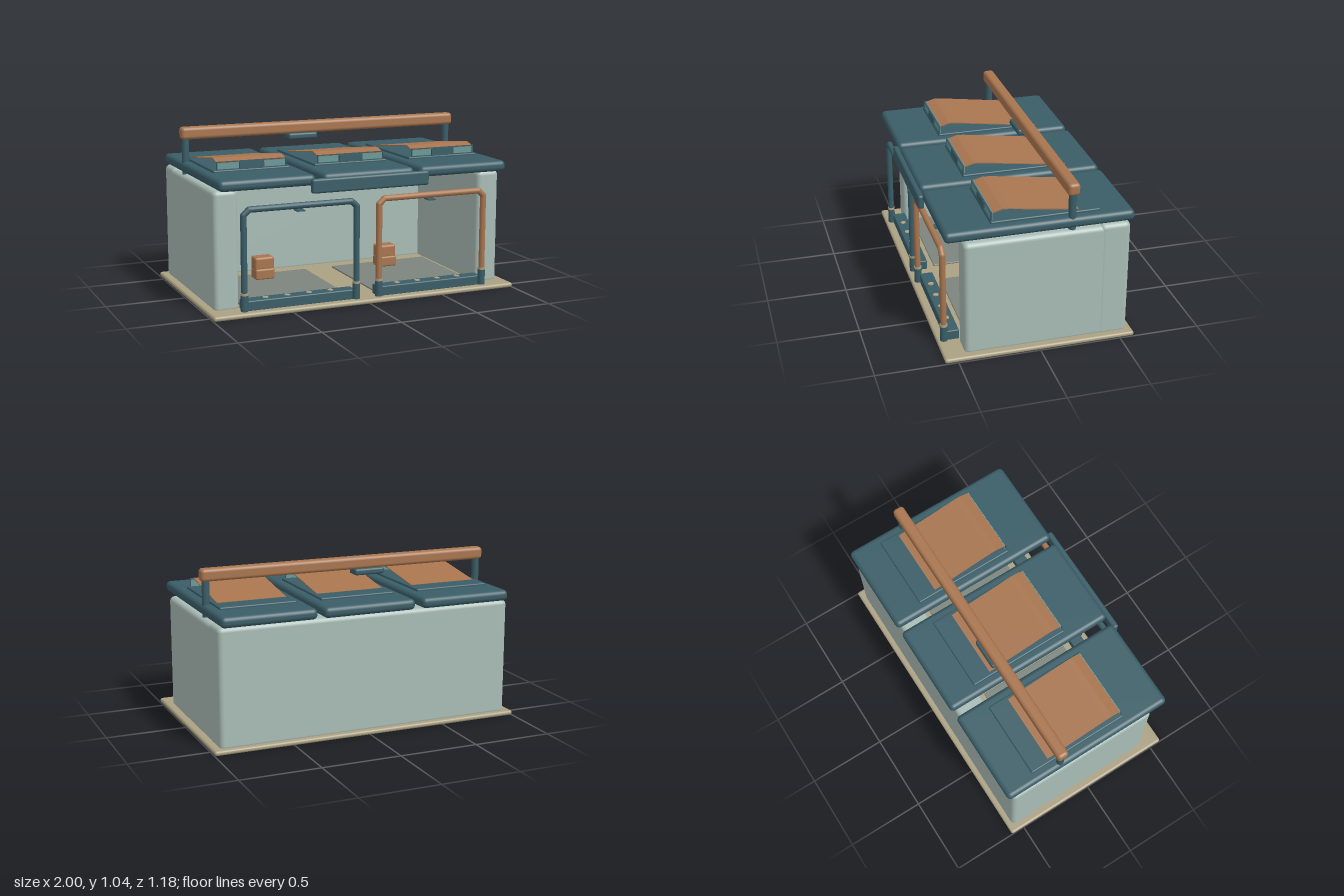
import * as THREE from 'three';
import { RoundedBoxGeometry } from 'three/addons/geometries/RoundedBoxGeometry.js';

const mat = (name, color, side = THREE.FrontSide) => {
  const m = new THREE.MeshStandardMaterial({ color, side });
  m.name = name;
  return m;
};

export function createModel() {
  const model = new THREE.Group();
  model.name = 'tripleLidStation';
  const teal = mat('deep teal', 0x3a5d67);
  const copper = mat('copper', 0xa8754f, THREE.DoubleSide);
  const sage = mat('pale sage', 0xa9bcb5);
  const sand = mat('sand', 0xaba083);
  const aqua = mat('light teal', 0x6a9a99);
  const grey = mat('grey pad', 0x7d857d);

  const add = (parent, name, geometry, material) => {
    const mesh = new THREE.Mesh(geometry, material);
    mesh.name = name;
    parent.add(mesh);
    return mesh;
  };
  // Box from its limits; r > 0 rounds the edges
  const box = (parent, name, material, [x0, x1], [y0, y1], [z0, z1], r = 0) => {
    const s = [x1 - x0, y1 - y0, z1 - z0];
    const g = r ? new RoundedBoxGeometry(...s, 3, r) : new THREE.BoxGeometry(...s);
    g.translate((x0 + x1) / 2, (y0 + y1) / 2, (z0 + z1) / 2);
    return add(parent, name, g, material);
  };
  // Round bar between two points
  const bar = (parent, name, material, a, b, r) => {
    const p = new THREE.Vector3(...a), q = new THREE.Vector3(...b);
    const mesh = add(parent, name, new THREE.CylinderGeometry(r, r, p.distanceTo(q), 16), material);
    mesh.position.copy(p).add(q).multiplyScalar(0.5);
    mesh.quaternion.setFromUnitVectors(new THREE.Vector3(0, 1, 0), q.sub(p).normalize());
  };
  const group = (name, x = 0) => {
    const g = new THREE.Group();
    g.name = name;
    g.position.x = x;
    model.add(g);
    return g;
  };

  // Base and the three walls, open to the front
  box(model, 'basePlate', sand, [-1, 1], [0, 0.03], [-0.59, 0.58], 0.014);
  for (const s of [-1, 1]) {
    const x = [0.8 * s, 0.953 * s].sort((a, b) => a - b);
    box(model, s > 0 ? 'leftWall' : 'rightWall', sage, x, [0.01, 0.745], [-0.54, 0.45], 0.03);
  }
  box(model, 'backWall', sage, [-0.955, 0.955], [0.01, 0.755], [-0.555, -0.37], 0.03);

  // Two bays, each with a floor pad, a block and a front frame
  [[-0.44, teal], [0.43, copper]].forEach(([cx, frameColor]) => {
    const bay = group('bay', cx);
    box(bay, 'floorPad', grey, [-0.34, 0.34], [0.03, 0.042], [-0.24, 0.4], 0.005);
    box(bay, 'blockLower', copper, [-0.065, 0.065], [0.04, 0.11], [-0.18, -0.08], 0.012);
    box(bay, 'blockUpper', copper, [-0.065, 0.065], [0.1, 0.185], [-0.18, -0.09], 0.015);

    const z = 0.54, w = 0.36;
    const path = [[-w, 0.04, z], [-w, 0.61, z], [-w + 0.035, 0.642, z],
      [w - 0.035, 0.642, z], [w, 0.61, z], [w, 0.04, z]];
    path.slice(1).forEach((p, i) => {
      bar(bay, 'frameBar', frameColor, path[i], p, 0.019);
      if (i < 4) add(bay, 'frameJoint', new THREE.SphereGeometry(0.019, 16, 10), frameColor).position.set(...p);
    });
    for (const x of [-w, w]) {
      bar(bay, 'frameSleeve', teal, [x, 0.035, z], [x, 0.14, z], 0.023);
      bar(bay, 'sleeveRing', sand, [x, 0.132, z], [x, 0.146, z], 0.0235);
    }
    box(bay, 'sill', teal, [-w, w], [0.025, 0.09], [0.445, 0.53], 0.008);
    for (let i = 0; i < 4; i++) {
      const stud = add(bay, 'sillStud', new THREE.CylinderGeometry(0.018, 0.018, 0.008, 12), sand);
      stud.position.set(-0.21 + i * 0.14, 0.09, 0.488);
    }
    box(bay, 'latchTab', teal, [-0.025, 0.025], [0.605, 0.612], [0.48, 0.545]);
  });

  // Three lids, each with a raised panel and a tilted copper hatch
  const profile = [[0.265, 0.882], [0.2, 0.9], [0.16, 0.898], [-0.26, 0.838]];
  for (const cx of [-0.648, 0, 0.642]) {
    const lid = group('lid', cx);
    box(lid, 'lidSlab', teal, [-0.3, 0.3], [0.755, 0.822], [-0.583, 0.558], 0.028);
    box(lid, 'raisedPanel', teal, [-0.243, 0.243], [0.81, 0.836], [-0.385, 0.275], 0.008);
    const shape = new THREE.Shape();
    profile.forEach(([z, y], i) => (i ? shape.lineTo(-z, y) : shape.moveTo(-z, y)));
    [...profile].reverse().forEach(([z, y]) => shape.lineTo(-z, y - 0.006));
    const sheet = new THREE.ExtrudeGeometry(shape, { depth: 0.44, bevelEnabled: false });
    sheet.translate(0, 0, -0.22).rotateY(Math.PI / 2);
    add(lid, 'hatchSheet', sheet, copper);
    box(lid, 'hatchFront', aqua, [-0.22, 0.22], [0.834, 0.886], [0.257, 0.264]);
    box(lid, 'hatchGrip', teal, [-0.078, 0.078], [0.834, 0.88], [0.264, 0.273]);
    for (const y of [0.834, 0.881]) {
      box(lid, 'hatchTrim', teal, [-0.222, 0.222], [y, y + 0.006], [0.262, 0.271]);
    }
    for (const x of [-0.222, 0.216]) {
      box(lid, 'hatchTrim', teal, [x, x + 0.006], [0.834, 0.886], [0.262, 0.271]);
    }
  }
  box(model, 'frontFlap', teal, [-0.385, 0.385], [0.712, 0.8], [0.55, 0.588], 0.014);

  // Carrying rail on two posts, with a clip under it
  const rail = group('carryRail');
  box(rail, 'railBar', copper, [-0.95, 0.947], [0.962, 1.04], [-0.24, -0.167], 0.022);
  for (const x of [-0.918, 0.912]) bar(rail, 'railPost', teal, [x, 0.742, -0.203], [x, 0.98, -0.203], 0.023);
  box(rail, 'railClip', teal, [-0.243, -0.043], [0.925, 0.966], [-0.252, -0.157], 0.014);

  return model;
}
